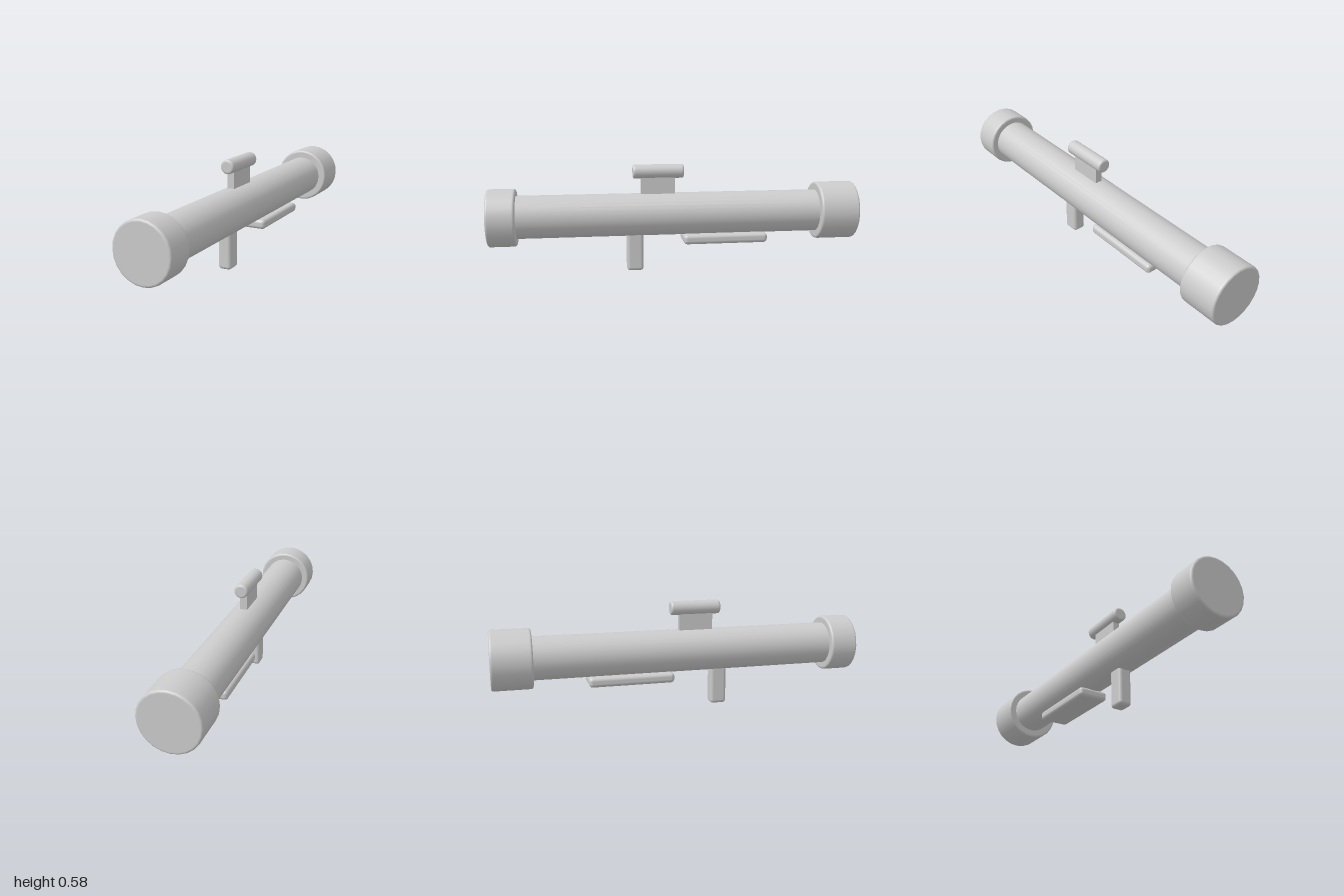
import * as THREE from 'three';
import { RoundedBoxGeometry } from 'three/addons/geometries/RoundedBoxGeometry.js';

const AXIS_Y = 0.308; // height of the main tube's centre line

export function createModel() {
  const group = new THREE.Group();
  const material = new THREE.MeshStandardMaterial({ color: 0xcccccc });

  function add(name, geometry, x, y, z) {
    const mesh = new THREE.Mesh(geometry, material);
    mesh.name = name;
    mesh.position.set(x, y, z);
    group.add(mesh);
  }

  // Solid round bar along z with rounded rims, from z0 to z1
  function roundBar(name, radius, z0, z1, y, bevel, sides) {
    const h = (z1 - z0) / 2;
    const half = []; // upper rim, from the side to the end face
    for (let i = 0; i <= 4; i++) {
      const a = (i / 4) * Math.PI / 2;
      half.push([radius - bevel + bevel * Math.cos(a), h - bevel + bevel * Math.sin(a)]);
    }
    // Support loops keep the side and the end faces evenly shaded
    const upper = [[radius, h - bevel * 1.2], ...half, [radius - bevel * 1.2, h], [0, h]];
    const lower = upper.map(([r, y]) => [r, -y]).reverse();
    const profile = [...lower, ...upper].map(([r, y]) => new THREE.Vector2(r, y));
    const geometry = new THREE.LatheGeometry(profile, sides);
    geometry.rotateX(Math.PI / 2);
    add(name, geometry, 0, y, (z0 + z1) / 2);
  }

  // Main tube and its end caps
  const tube = new THREE.CylinderGeometry(0.115, 0.115, 1.7, 32);
  tube.rotateX(Math.PI / 2);
  add('mainTube', tube, 0, AXIS_Y, 0.03);
  roundBar('frontCap', 0.154, 0.85, 1, AXIS_Y - 0.001, 0.011, 24);
  roundBar('rearCap', 0.159, -1, -0.787, AXIS_Y, 0.011, 24);

  // Sight on a post
  add('sightPost', new THREE.BoxGeometry(0.038, 0.13, 0.184), 0, 0.465, 0.095);
  roundBar('sight', 0.038, -0.046, 0.23, 0.542, 0.011, 24);

  // Grip and shoulder rest under the tube
  add('grip', new RoundedBoxGeometry(0.074, 0.24, 0.09, 3, 0.018), 0, 0.12, 0.222);
  add('shoulderRest', new RoundedBoxGeometry(0.17, 0.054, 0.462, 3, 0.02), 0, 0.174, -0.271);

  return group;
}
